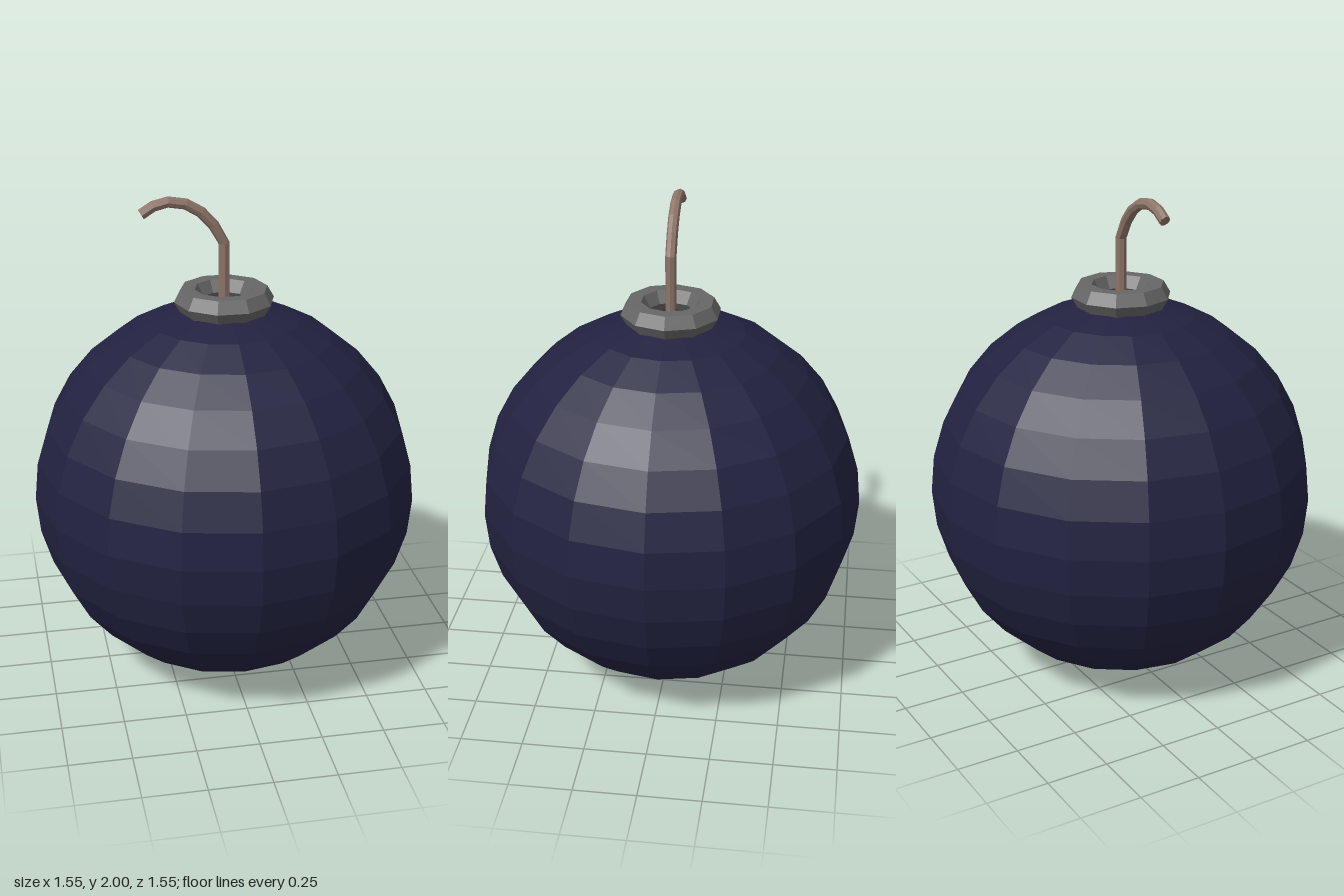
import * as THREE from 'three';

// Straight segments joined at evenly spaced parameters, so each tube ring sits on a point
class Polyline extends THREE.Curve {
  constructor(points) {
    super();
    this.points = points;
  }
  getPoint(t, target = new THREE.Vector3()) {
    const n = this.points.length - 1;
    const f = Math.min(Math.max(t, 0), 1) * n;
    const i = Math.min(Math.floor(f), n - 1);
    return target.lerpVectors(this.points[i], this.points[i + 1], f - i);
  }
  getPointAt(u, target) { return this.getPoint(u, target); }
  getTangentAt(u, target) { return this.getTangent(u, target); }
}

export function createModel() {
  const group = new THREE.Group();
  const material = (name, color) => {
    const m = new THREE.MeshStandardMaterial({ color, flatShading: true });
    m.name = name;
    return m;
  };
  const navy = material('navy shell', 0x222241);
  const grey = material('grey metal', 0x666666);
  const brown = material('brown cord', 0x8d7468);

  const add = (name, geometry, mat, x = 0, y = 0) => {
    const mesh = new THREE.Mesh(geometry, mat);
    mesh.name = name;
    mesh.position.set(x, y, 0);
    group.add(mesh);
    return mesh;
  };

  // Faceted round body
  add('body', new THREE.SphereGeometry(0.777, 16, 16), navy, 0, 0.777);

  // Collar ring with a hexagonal section
  add('collar', new THREE.TorusGeometry(0.145, 0.055, 6, 10).rotateX(Math.PI / 2), grey, 0, 1.576);

  // Fuse: upright, then arching to the side
  const path = [
    [0, 1.5], [0, 1.805], [-0.042, 1.88], [-0.09, 1.932], [-0.15, 1.967],
    [-0.218, 1.978], [-0.275, 1.964], [-0.322, 1.934],
  ].map(([x, y]) => new THREE.Vector3(x, y, 0));
  add('fuse', new THREE.TubeGeometry(new Polyline(path), path.length - 1, 0.022, 8), brown);

  // Cap closing the fuse tip
  const tip = path[path.length - 1];
  const direction = tip.clone().sub(path[path.length - 2]).normalize();
  const cap = add('fuseTip', new THREE.CircleGeometry(0.022, 8), brown, tip.x, tip.y);
  cap.quaternion.setFromUnitVectors(new THREE.Vector3(0, 0, 1), direction);

  return group;
}
